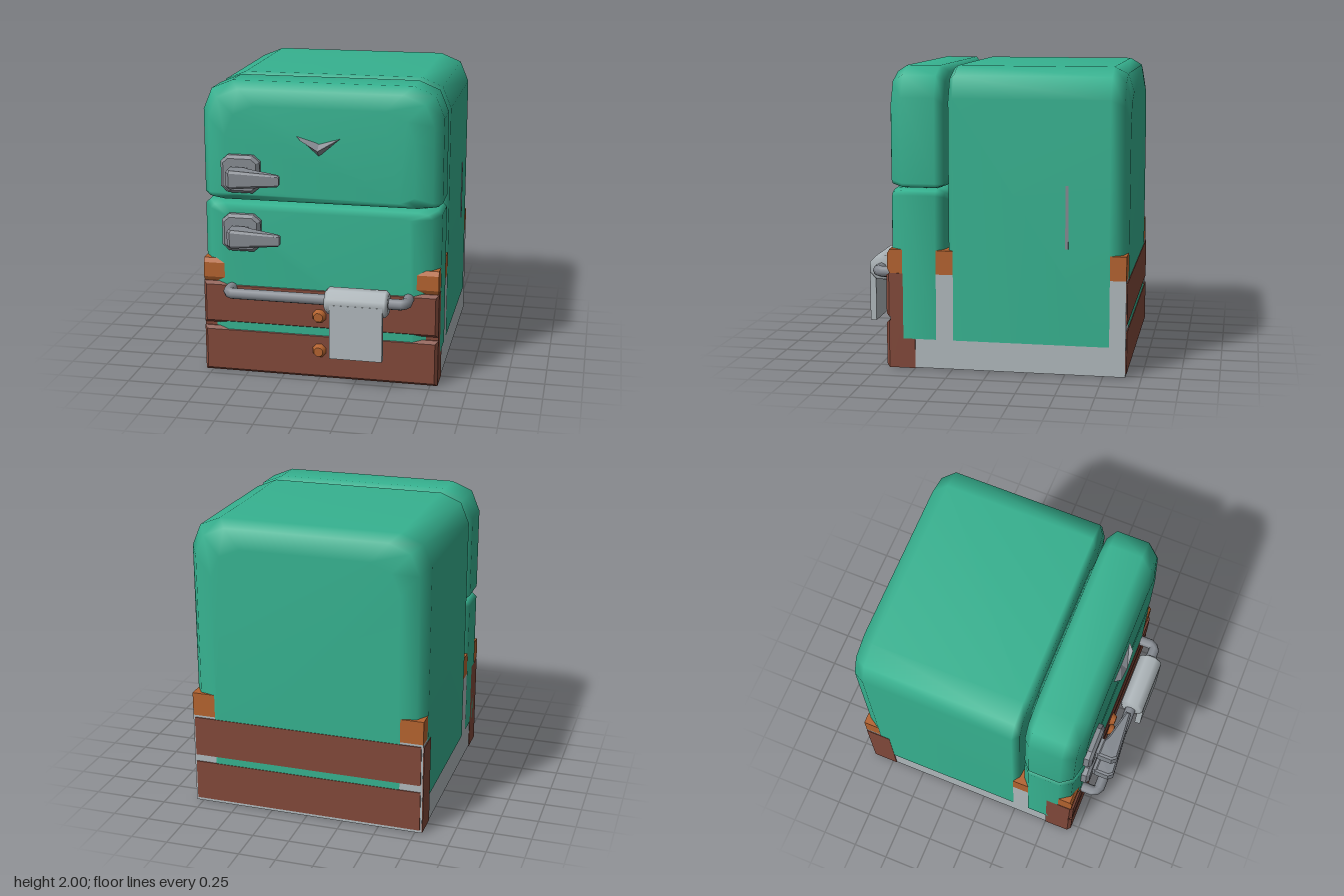
import * as THREE from 'three';

const mat = (name, color, opts = {}) => {
  const m = new THREE.MeshStandardMaterial({ color, ...opts });
  m.name = name;
  return m;
};

export function createModel() {
  const group = new THREE.Group();
  const green = mat('green enamel', 0x36b290);
  const brown = mat('brown wood', 0x82493a);
  const orange = mat('orange trim', 0xb4632f);
  const pale = mat('pale grey', 0xb1b9bd);
  const steel = mat('steel', 0x868b92);

  function add(name, geo, material, x = 0, y = 0, z = 0) {
    const mesh = new THREE.Mesh(geo, material);
    mesh.name = name;
    mesh.position.set(x, y, z);
    group.add(mesh);
    return mesh;
  }

  // Box given by its limits
  function box(name, material, x0, x1, y0, y1, z0, z1) {
    return add(name, new THREE.BoxGeometry(x1 - x0, y1 - y0, z1 - z0), material,
      (x0 + x1) / 2, (y0 + y1) / 2, (z0 + z1) / 2);
  }

  // Rounded block: rings in xy stacked along z; section = [z, side inset, top inset, bottom inset]
  function block(hw, y0, y1, top, bottom, sections) {
    const pos = [], idx = [], n = 12, k = 1 - Math.SQRT1_2;
    for (const [z, s, t, b] of sections) {
      const w = hw - s, hi = y1 - t, lo = y0 + b;
      const [tx, ty] = top, [bx, by] = bottom;
      const right = [
        [w - bx, lo], [w - bx * k, lo + by * k], [w, lo + by],
        [w, hi - ty], [w - tx * k, hi - ty * k], [w - tx, hi],
      ];
      const left = right.map(([x, y]) => [-x, y]).reverse();
      for (const [x, y] of [...right, ...left]) pos.push(x, y, z);
    }
    const last = (sections.length - 1) * n;
    for (let i = 0; i < last; i += n) {
      for (let j = 0; j < n; j++) {
        const m = (j + 1) % n;
        idx.push(i + j, i + m, i + n + m, i + j, i + n + m, i + n + j);
      }
    }
    for (let j = 1; j < n - 1; j++) {
      idx.push(last, last + j, last + j + 1, 0, j + 1, j);
    }
    const g = new THREE.BufferGeometry();
    g.setAttribute('position', new THREE.Float32BufferAttribute(pos, 3));
    g.setIndex(idx);
    g.computeVertexNormals();
    return g;
  }

  // Side profile of [z, y] points, extruded from x0 to x1
  function extrudeX(points, x0, x1) {
    const shape = new THREE.Shape(points.map(([z, y]) => new THREE.Vector2(-z, y)));
    const g = new THREE.ExtrudeGeometry(shape, { depth: x1 - x0, bevelEnabled: false });
    return g.rotateY(Math.PI / 2).translate(x0, 0, 0);
  }

  // Cabinet and the two doors
  add('cabinet', block(0.8, 0.2, 2, [0.2, 0.2], [0, 0], [
    [-0.9, 0.17, 0.17, 0], [-0.87, 0.055, 0.045, 0], [-0.785, 0, 0, 0],
    [0.24, 0, 0, 0], [0.278, 0.05, 0.025, 0], [0.29, 0.17, 0.1, 0],
  ]), green);
  const door = (tops, bottoms) => [0.29, 0.31, 0.36, 0.58, 0.66, 0.692].map((z, i) =>
    [z, [0.17, 0.055, 0, 0, 0.055, 0.17][i], tops[i], bottoms[i]]);
  const small = [0.05, 0.015, 0, 0, 0.015, 0.05], none = [0, 0, 0, 0, 0, 0];
  add('upperDoor', block(0.8, 1.2, 2, [0.2, 0.2], [0.1, 0.04],
    door([0.15, 0.045, 0, 0, 0.045, 0.15], small)), green);
  add('lowerDoor', block(0.8, 0.2, 1.2, [0.1, 0.04], [0, 0], door(small, none)), green);

  // Base frame, trim belt and wooden cladding
  box('baseFrame', pale, -0.797, 0.797, 0.004, 0.64, -0.897, 0.5);
  add('trimBelt', extrudeX([
    [-0.897, 0.64], [0.67, 0.64], [0.686, 0.67], [0.686, 0.77], [0.67, 0.8], [-0.897, 0.8],
  ], -0.797, 0.797), orange);
  box('floorPlate', brown, -0.78, 0.78, 0, 0.02, -0.885, 0.6);
  box('frontCladding', brown, -0.8, 0.8, 0, 0.64, 0.5, 0.668);
  box('sideCornerBoard', brown, -0.803, -0.795, 0.01, 0.62, -0.895, -0.72);
  for (const [y0, y1] of [[0, 0.32], [0.345, 0.64]]) {
    const board = block(0.8, y0, y1, [0, 0], [0, 0],
      [[0.66, 0, 0, 0], [0.675, 0, 0, 0], [0.697, 0.02, 0.02, 0.02]]).toNonIndexed();
    board.computeVertexNormals();
    add('frontBoard', board, brown);
  }
  for (const [y0, y1] of [[0.025, 0.3], [0.35, 0.625]]) {
    box('backBoard', brown, -0.785, 0.785, y0, y1, -0.904, -0.895);
  }
  for (const y of [0.2, 0.445]) {
    const knob = new THREE.CylinderGeometry(0.032, 0.054, 0.045, 8).rotateX(Math.PI / 2);
    add('knob', knob.rotateZ(Math.PI / 8), orange, 0, y, 0.71);
  }

  // Door handles: plate, stem and tapered lever
  const plate = new THREE.Shape([
    [-0.13, -0.09], [-0.09, -0.125], [0.09, -0.125], [0.13, -0.09],
    [0.13, 0.09], [0.09, 0.125], [-0.09, 0.125], [-0.13, 0.09],
  ].map(([x, y]) => new THREE.Vector2(x * 0.85, y * 0.85)));
  const outline = new THREE.Shape([
    [-0.57, -0.77], [-0.48, -0.77], [-0.44, -0.79], [-0.24, -0.835], [-0.24, -0.85], [-0.55, -0.875], [-0.57, -0.85],
  ].map(([x, y]) => new THREE.Vector2(x, y)));
  for (const y of [1, 1.4]) {
    const p = new THREE.ExtrudeGeometry(plate,
      { depth: 0.035, bevelThickness: 0.02, bevelSize: 0.02, bevelSegments: 1 });
    add('handlePlate', p, steel, -0.52, y + 0.003, 0.687);
    box('handleStem', steel, -0.575, -0.465, y - 0.05, y + 0.05, 0.73, 0.81);
    const lever = new THREE.ExtrudeGeometry(outline,
      { depth: 0.09, bevelThickness: 0.017, bevelSize: 0.012, bevelSegments: 1 });
    lever.rotateX(-Math.PI / 2).translate(0, -0.045, 0);
    const v = lever.attributes.position;
    for (let i = 0; i < v.count; i++) {
      const t = THREE.MathUtils.clamp((v.getX(i) + 0.5) / 0.28, 0, 1);
      v.setY(i, v.getY(i) * (1 - 0.4 * t));
    }
    lever.computeVertexNormals();
    add('handleLever', lever, steel, 0, y, 0);
  }

  // Faceted chevron ornament
  const chevron = new THREE.BufferGeometry();
  chevron.setAttribute('position', new THREE.Float32BufferAttribute([
    -0.155, 1.67, 0.685, 0, 1.535, 0.685, 0.155, 1.67, 0.685, 0, 1.625, 0.685,
    -0.11, 1.643, 0.73, 0, 1.58, 0.735, 0.11, 1.643, 0.73,
  ], 3));
  chevron.setIndex([0, 1, 5, 0, 5, 4, 1, 2, 6, 1, 6, 5, 2, 3, 5, 2, 5, 6, 3, 0, 4, 3, 4, 5]);
  const facets = chevron.toNonIndexed();
  facets.computeVertexNormals();
  add('chevronOrnament', facets, steel);

  // Side hinge strip
  box('sideStrip', steel, 0.79, 0.805, 0.84, 1.25, -0.52, -0.5);

  // Towel rail
  const path = new THREE.CurvePath();
  const bends = [[-0.6, 0.68], [-0.6, 0.78], [-0.57, 0.81], [0.57, 0.81], [0.6, 0.78], [0.6, 0.68]]
    .map(([x, z]) => new THREE.Vector3(x, 0.605, z));
  for (let i = 1; i < bends.length; i++) path.add(new THREE.LineCurve3(bends[i - 1], bends[i]));
  add('towelRail', new THREE.TubeGeometry(path, 60, 0.038, 8), steel);

  // Towel: roll over the rail and hanging panel
  const roll = new THREE.LatheGeometry([
    [0, -0.21], [0.07, -0.21], [0.09, -0.19], [0.09, 0.19], [0.07, 0.21], [0, 0.21],
  ].map(([r, h]) => new THREE.Vector2(r, h)), 8);
  roll.rotateY(Math.PI / 8).rotateZ(-Math.PI / 2);
  add('towelRoll', roll, pale, 0.28, 0.605, 0.815);
  add('towelPanel', extrudeX([
    [0.858, 0.6], [0.858, 0.23], [0.9, 0.23], [0.9, 0.6],
  ], 0.11, 0.46), pale);

  return group;
}
